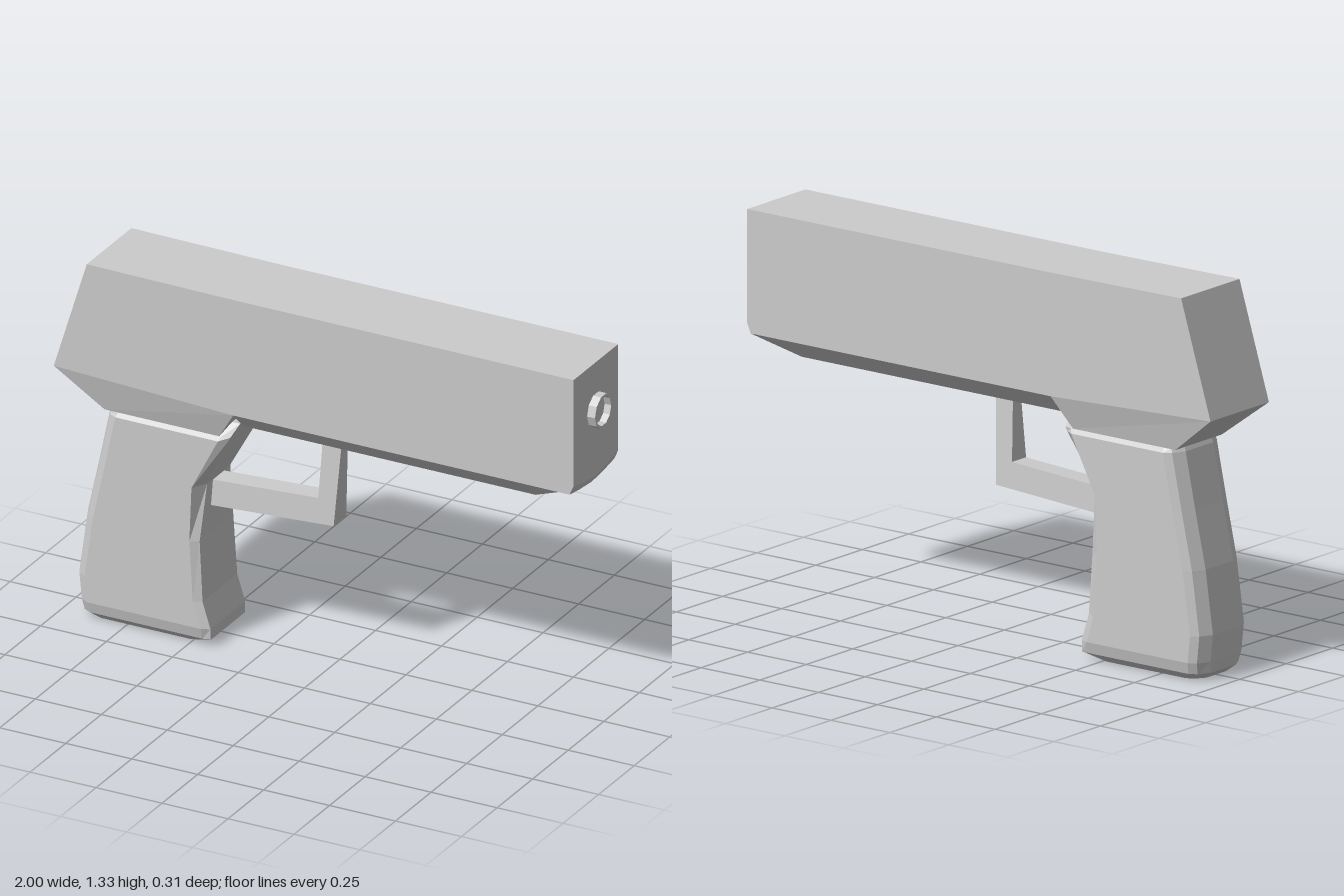
import * as THREE from 'three';

const material = new THREE.MeshStandardMaterial({ color: 0xcccccc, flatShading: true });

// Skins equal-length rings of [x, y, z] points and caps both ends.
// Rings run counter-clockwise about the direction of travel.
function loft(rings) {
  const pos = [];
  const tri = (a, b, c) => pos.push(...a, ...b, ...c);
  const n = rings[0].length;
  for (let r = 0; r < rings.length - 1; r++) {
    for (let i = 0; i < n; i++) {
      const j = (i + 1) % n;
      tri(rings[r][i], rings[r][j], rings[r + 1][j]);
      tri(rings[r][i], rings[r + 1][j], rings[r + 1][i]);
    }
  }
  const first = rings[0], last = rings[rings.length - 1];
  for (let i = 1; i < n - 1; i++) {
    tri(first[0], first[i + 1], first[i]);
    tri(last[0], last[i], last[i + 1]);
  }
  const g = new THREE.BufferGeometry();
  g.setAttribute('position', new THREE.Float32BufferAttribute(pos, 3));
  g.computeVertexNormals();
  return g;
}

function addPart(group, name, geometry) {
  const mesh = new THREE.Mesh(geometry, material);
  mesh.name = name;
  group.add(mesh);
  return mesh;
}

// Cross-section of the upper body: flat top, straight sides, chamfered belly
function bodyRing(xTop, x, top, side, belly, keel) {
  const w = 0.157, b = 0.09;
  return [
    [xTop, top, -w], [xTop, top, w], [x, side, w],
    [x, belly, b], [x, keel, 0], [x, belly, -b], [x, side, -w],
  ];
}

// Cross-section of the grip: flat side panels with bevelled front and back
function gripRing([y, back, front, panel, edge, frontEdge]) {
  const half = [
    [back + 0.05, panel], [front - 0.03, panel], [front, frontEdge],
  ];
  const rear = [[back, edge * 0.62], [back + 0.022, edge]];
  return [
    ...half.map(([x, z]) => [x, y, z]),
    ...half.slice().reverse().map(([x, z]) => [x, y, -z]),
    ...rear.slice().reverse().map(([x, z]) => [x, y, -z]),
    ...rear.map(([x, z]) => [x, y, z]),
  ];
}

export function createModel() {
  const model = new THREE.Group();
  model.name = 'pistol';

  // Upper body with slanted rear and chamfered nose
  addPart(model, 'upperBody', loft([
    bodyRing(-0.875, -1, 1.33, 0.925, 0.925, 0.925),
    bodyRing(-0.32, -0.32, 1.325, 0.897, 0.897, 0.897),
    bodyRing(-0.32, -0.32, 1.325, 0.897, 0.83, 0.83),
    bodyRing(0.79, 0.79, 1.325, 0.897, 0.83, 0.83),
    bodyRing(0.955, 0.955, 1.325, 0.897, 0.887, 0.879),
    bodyRing(0.97, 0.97, 1.325, 0.932, 0.917, 0.904),
  ]));

  // Flared collar joining the grip to the body
  addPart(model, 'collar', loft([
    [[-0.825, 0.79, 0.125], [-0.39, 0.79, 0.125], [-0.39, 0.79, -0.125], [-0.825, 0.79, -0.125]],
    [[-1, 0.925, 0.157], [-0.32, 0.897, 0.157], [-0.32, 0.897, -0.157], [-1, 0.925, -0.157]],
  ]));

  // Grip stations: height, back x, front x, panel z, rear edge z, front edge z
  addPart(model, 'grip', loft([
    [0, -0.9, -0.485, 0.1, 0.085, 0.09],
    [0.025, -0.93, -0.425, 0.125, 0.11, 0.12],
    [0.065, -0.935, -0.425, 0.135, 0.12, 0.122],
    [0.16, -0.945, -0.455, 0.135, 0.12, 0.122],
    [0.38, -0.914, -0.468, 0.135, 0.12, 0.118],
    [0.58, -0.87, -0.46, 0.135, 0.12, 0.08],
    [0.775, -0.829, -0.36, 0.135, 0.12, 0.118],
    [0.79, -0.823, -0.352, 0.125, 0.115, 0.118],
    [0.835, -0.8, -0.33, 0.09, 0.09, 0.09],
  ].map(gripRing)));

  // Trigger guard, narrowing toward its top
  const outline = new THREE.Shape([
    [-0.48, 0.484], [0, 0.512], [0.02, 0.84], [-0.052, 0.84], [-0.062, 0.6], [-0.48, 0.576],
  ].map(([x, y]) => new THREE.Vector2(x, y)));
  const guard = new THREE.ExtrudeGeometry(outline, { depth: 2, bevelEnabled: false });
  guard.translate(0, 0, -1);
  const p = guard.attributes.position;
  for (let i = 0; i < p.count; i++) {
    p.setZ(i, p.getZ(i) * (0.046 - (p.getY(i) - 0.49) * 0.075));
  }
  guard.computeVertexNormals();
  addPart(model, 'triggerGuard', guard);

  // Muzzle ring with recessed face
  const profile = [[0.062, -0.01], [0.062, 0.03], [0.052, 0.03], [0.052, 0.005], [0, 0.005]]
    .map(([r, h]) => new THREE.Vector2(r, h));
  const muzzle = addPart(model, 'muzzle', new THREE.LatheGeometry(profile, 10));
  muzzle.rotation.z = -Math.PI / 2;
  muzzle.position.set(0.97, 1.15, 0);

  return model;
}
